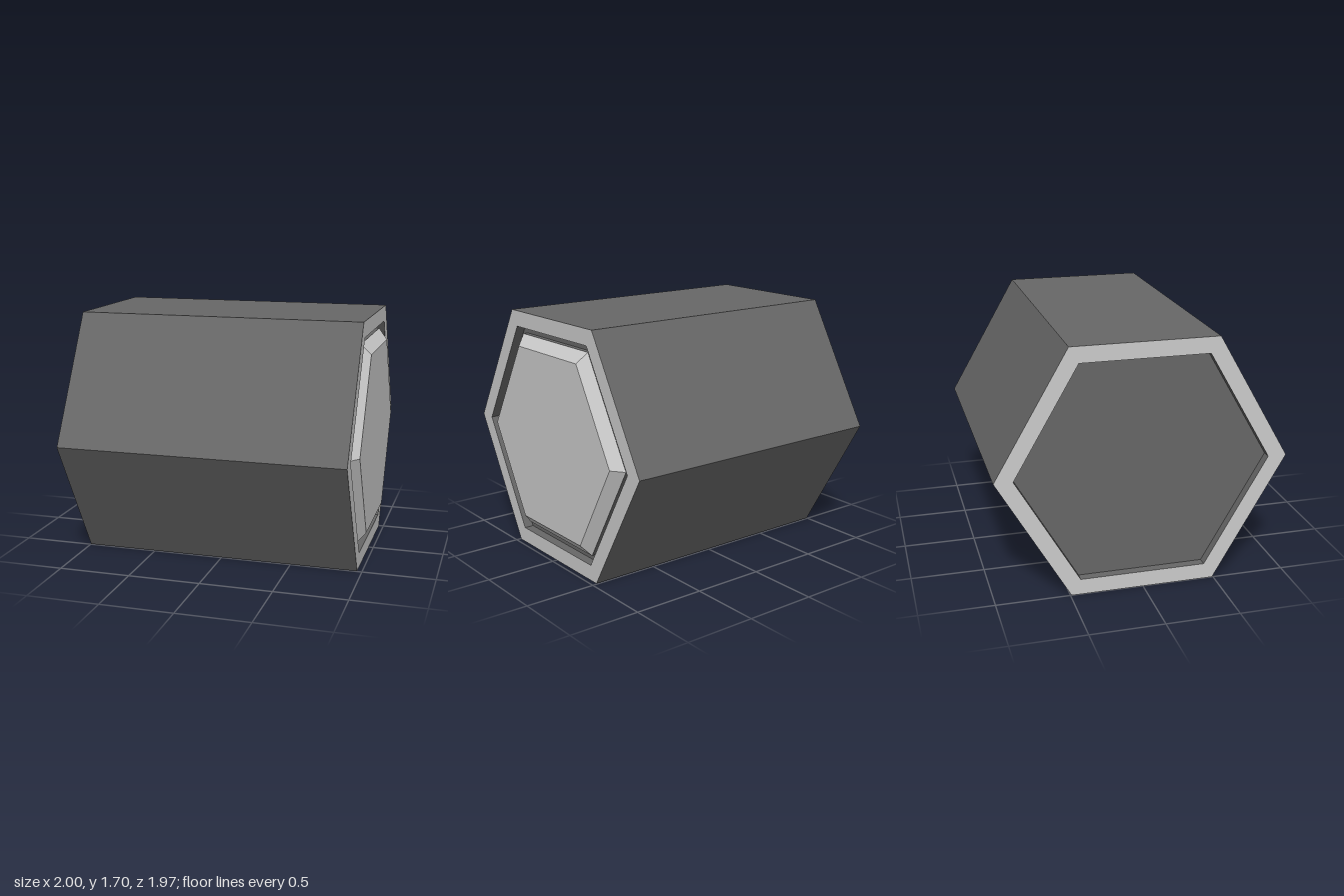
import * as THREE from 'three';

const LIGHT = 0xcccccc;
const DARK = 0x676767;

// Six-sided surface along x from a profile of [radius, x] points
function hexPart(name, profile, color) {
  const points = profile.map(([r, x]) => new THREE.Vector2(r, x));
  const geometry = new THREE.LatheGeometry(points, 6);
  geometry.rotateZ(-Math.PI / 2);
  const mesh = new THREE.Mesh(
    geometry,
    new THREE.MeshStandardMaterial({ color, flatShading: true })
  );
  mesh.name = name;
  mesh.position.y = 0.852;
  return mesh;
}

export function createModel() {
  const model = new THREE.Group();
  model.name = 'hexagonalCapsule';

  // Dark outer and inner walls of the sleeve
  model.add(hexPart('outerWall', [[0.984, -1], [0.984, 0.966]], DARK));
  model.add(hexPart('rightRecessWall', [[0.858, -0.937], [0.858, -1]], DARK));
  model.add(hexPart('leftRecessWall', [[0.858, 0.966], [0.858, 0.9]], DARK));

  // Light rims at both ends
  model.add(hexPart('rightRim', [[0.858, -1], [0.984, -1]], LIGHT));
  model.add(hexPart('leftRim', [[0.984, 0.966], [0.858, 0.966]], LIGHT));

  // Dark recess floors and the step that carries the end panel
  model.add(hexPart('rightRecessFloor', [[0, -0.937], [0.858, -0.937]], DARK));
  model.add(hexPart('leftRecessFloor', [[0.858, 0.9], [0.8, 0.9], [0.8, 0.935]], DARK));

  // Light bevelled end panel
  model.add(hexPart('endPanel', [[0.8, 0.935], [0.715, 1], [0, 1]], LIGHT));

  return model;
}
